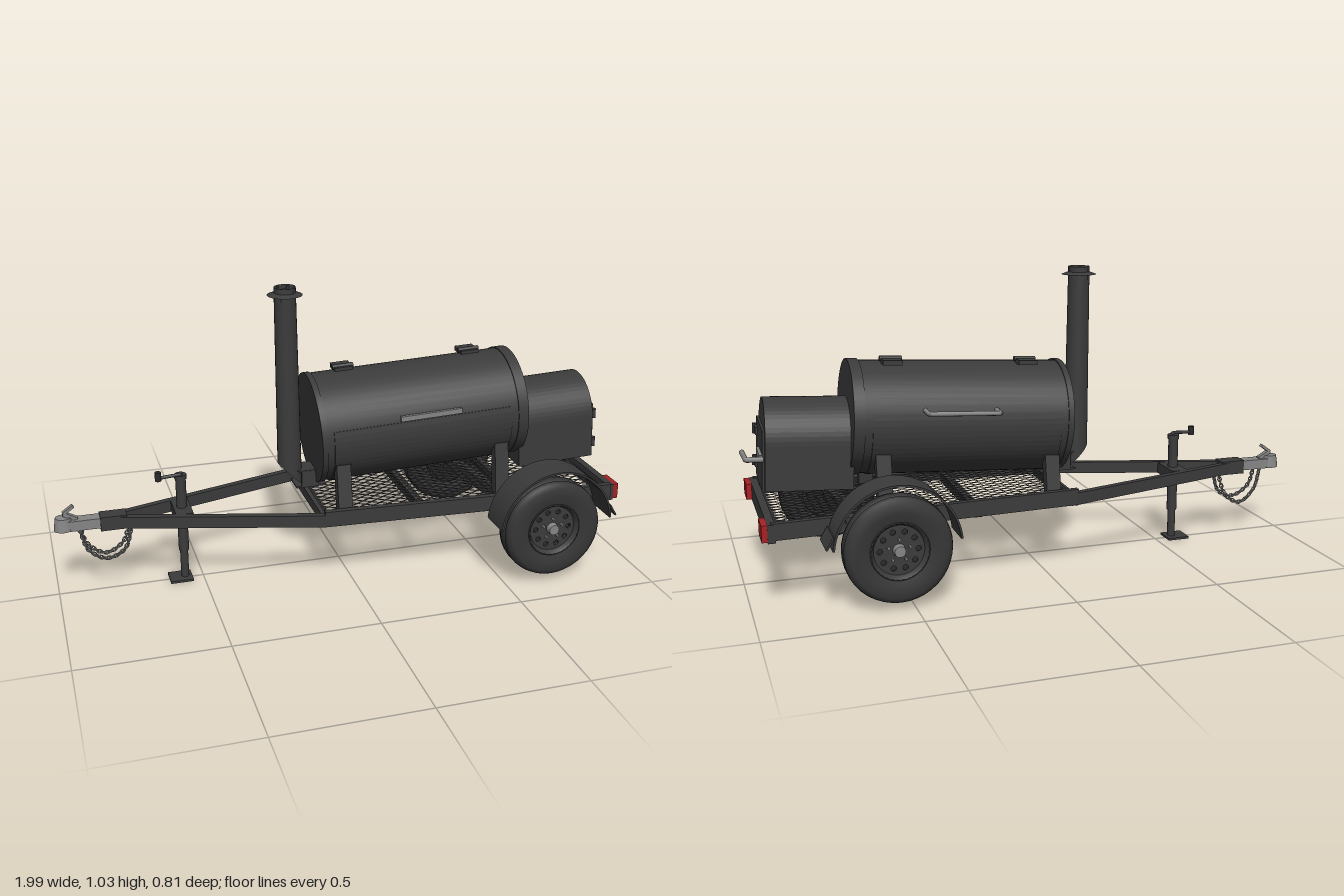
import * as THREE from 'three';

const mat = (name, hex) => {
  const m = new THREE.MeshStandardMaterial({ color: hex, side: THREE.DoubleSide });
  m.name = name;
  return m;
};
const V = (x, y, z) => new THREE.Vector3(x, y, z);

export function createModel() {
  const model = new THREE.Group();
  model.name = 'smokerTrailer';
  const steel = mat('blackSteel', 0x3b3b3b);
  const rubber = mat('rubber', 0x363636);
  const dark = mat('darkSteel', 0x2a2a2a);
  const silver = mat('silver', 0x858585);
  const red = mat('redLens', 0xa82024);

  const add = (parent, name, geo, m, x = 0, y = 0, z = 0) => {
    const mesh = new THREE.Mesh(geo, m);
    mesh.name = name;
    mesh.position.set(x, y, z);
    parent.add(mesh);
    return mesh;
  };
  const box = (parent, name, m, w, h, d, x, y, z) =>
    add(parent, name, new THREE.BoxGeometry(w, h, d), m, x, y, z);
  // square bar between two points
  const beam = (parent, name, m, a, b, w, h) => {
    const mesh = add(parent, name, new THREE.BoxGeometry(w, h, a.distanceTo(b)), m);
    mesh.position.copy(a).lerp(b, 0.5);
    mesh.lookAt(b);
    return mesh;
  };
  // round rod bent through a few points
  const rod = (parent, name, m, pts, r) => {
    const path = new THREE.CurvePath();
    for (let i = 1; i < pts.length; i++) path.add(new THREE.LineCurve3(pts[i - 1], pts[i]));
    return add(parent, name, new THREE.TubeGeometry(path, pts.length * 8, r, 8), m);
  };

  // Frame: side rails, tongue, cross members, bumper
  const frame = new THREE.Group();
  frame.name = 'frame';
  model.add(frame);
  for (const s of [1, -1]) {
    beam(frame, 'sideRail', steel, V(-0.11, 0.262, s * 0.21), V(0.93, 0.265, s * 0.278), 0.022, 0.055);
    beam(frame, 'tongueRail', steel, V(-0.82, 0.253, s * 0.005), V(-0.105, 0.256, s * 0.21), 0.024, 0.042);
  }
  for (const [x, w] of [[-0.1, 0.42], [0.25, 0.46], [0.6, 0.5]])
    box(frame, 'crossMember', steel, 0.025, 0.035, w, x, 0.247, 0);
  box(frame, 'rearBumper', steel, 0.025, 0.06, 0.575, 0.93, 0.26, -0.003);
  for (const s of [1, -1]) box(frame, 'tailLight', red, 0.022, 0.055, 0.085, 0.95, 0.262, s * 0.243 - 0.003);

  // Expanded metal floor: flat sheet with staggered diamond holes
  const half = (x) => 0.205 + (x + 0.11) * 0.066;
  const sheet = new THREE.Shape([[-0.1, -half(-0.1)], [0.925, -half(0.925)], [0.925, half(0.925)], [-0.1, half(-0.1)]]
    .map(([x, y]) => new THREE.Vector2(x, y)));
  const px = 0.052, pz = 0.03, hx = 0.019, hz = 0.0105;
  for (let i = 0; i < 39; i++) {
    const x = -0.075 + i * px / 2;
    if (x + hx > 0.92) break;
    for (let j = -10; j <= 10; j++) {
      const z = (j + (i % 2) / 2) * pz;
      if (Math.abs(z) + hz > half(x - hx) - 0.004) continue;
      sheet.holes.push(new THREE.Path([[x - hx, z], [x, z + hz], [x + hx, z], [x, z - hz]]
        .map(([a, b]) => new THREE.Vector2(a, b))));
    }
  }
  add(frame, 'meshFloor', new THREE.ShapeGeometry(sheet).rotateX(-Math.PI / 2), dark, 0, 0.268, 0);

  // Axle and wheels; the axle sits askew under the frame
  beam(frame, 'axle', steel, V(0.55, 0.185, -0.32), V(0.66, 0.197, 0.32), 0.04, 0.045);
  const tireProfile = [[0.092, -0.04], [0.125, -0.048], [0.155, -0.047], [0.17, -0.038], [0.175, -0.022],
    [0.169, -0.02], [0.169, -0.015], [0.176, -0.013], [0.176, 0.013], [0.169, 0.015], [0.169, 0.02],
    [0.175, 0.022], [0.17, 0.038], [0.155, 0.047], [0.125, 0.048], [0.092, 0.04]]
    .map(([r, y]) => new THREE.Vector2(r, y));
  const disc = new THREE.Shape().absarc(0, 0, 0.082, 0, Math.PI * 2);
  for (let i = 0; i < 10; i++) {
    const a = i * Math.PI / 5;
    disc.holes.push(new THREE.Path().absarc(Math.cos(a) * 0.062, Math.sin(a) * 0.062, 0.009, 0, Math.PI * 2));
  }
  for (const [x, y, s] of [[0.66, 0.2, 1], [0.55, 0.197, -1]]) {
    const wheel = new THREE.Group();
    wheel.name = s > 0 ? 'frontSideWheel' : 'backSideWheel';
    wheel.position.set(x, y, s * 0.353);
    if (s < 0) wheel.rotation.y = Math.PI;
    model.add(wheel);
    add(wheel, 'tire', new THREE.LatheGeometry(tireProfile, 40).rotateX(Math.PI / 2), rubber);
    const rim = [[0.08, -0.04], [0.096, -0.042], [0.096, 0.042], [0.09, 0.044], [0.082, 0.025]]
      .map(([r, h]) => new THREE.Vector2(r, h));
    add(wheel, 'rimRing', new THREE.LatheGeometry(rim, 32).rotateX(Math.PI / 2), steel);
    add(wheel, 'rimDisc', new THREE.ExtrudeGeometry(disc, { depth: 0.008, bevelEnabled: false, curveSegments: 16 }),
      steel, 0, 0, 0.018);
    add(wheel, 'rimBack', new THREE.CylinderGeometry(0.085, 0.085, 0.01, 24).rotateX(Math.PI / 2), dark, 0, 0, -0.015);
    add(wheel, 'hubCap', new THREE.CylinderGeometry(0.018, 0.022, 0.025, 16).rotateX(Math.PI / 2), silver, 0, 0, 0.033);
    for (let i = 0; i < 5; i++) {
      const a = i * Math.PI * 0.4 + 0.3;
      add(wheel, 'lugNut', new THREE.CylinderGeometry(0.005, 0.005, 0.01, 6).rotateX(Math.PI / 2), silver,
        Math.cos(a) * 0.036, Math.sin(a) * 0.036, 0.03);
    }
    // Fender: bent band with a short lip, tied to the frame
    const arch = new THREE.Shape().absarc(0, 0, 0.214, 0.1, Math.PI - 0.1).absarc(0, 0, 0.207, Math.PI - 0.1, 0.1, true);
    const fender = add(model, 'fender', new THREE.ExtrudeGeometry(arch,
      { depth: 0.122, bevelEnabled: false, curveSegments: 24 }), steel, x + 0.005, y + 0.004, s * 0.345 - 0.061);
    fender.scale.x = 0.97;
    beam(model, 'fenderFlare', steel, V(x + 0.206, y + 0.07, s * 0.345), V(x + 0.23, y + 0.03, s * 0.345), 0.118, 0.006);
    box(model, 'fenderBracket', steel, 0.3, 0.02, 0.04, x, y + 0.085, s * 0.275);
  }

  // Cooking barrel: local x runs along its axis, slightly tilted
  const cooker = new THREE.Group();
  cooker.name = 'cooker';
  cooker.position.set(0.27, 0.531, -0.006);
  cooker.rotation.set(0, -0.024, 0.052);
  model.add(cooker);
  const tube = (name, r, x0, x1, m = steel) =>
    add(cooker, name, new THREE.CylinderGeometry(r, r, x1 - x0, 48).rotateZ(Math.PI / 2), m, (x0 + x1) / 2, 0, 0);
  tube('barrel', 0.19, -0.37, 0.37);
  tube('endBand', 0.194, -0.372, -0.352);
  tube('endBand', 0.194, 0.335, 0.372);
  for (const s of [1, -1]) {
    const pts = [];
    for (let i = 0; i <= 16; i++) {
      const a = 0.2 + i * 0.1;
      pts.push(new THREE.Vector2(Math.cos(a) * 0.194, Math.sin(a) * 0.194 * s));
    }
    for (let i = 16; i >= 0; i--) {
      const a = 0.2 + i * 0.1;
      pts.push(new THREE.Vector2(Math.cos(a) * 0.189, Math.sin(a) * 0.189 * s));
    }
    // shape x becomes up, shape y becomes z, depth runs along the barrel
    const lid = new THREE.ExtrudeGeometry(new THREE.Shape(pts), { depth: 0.64, bevelEnabled: false });
    lid.rotateY(Math.PI / 2).rotateX(Math.PI / 2);
    add(cooker, 'lid', lid.rotateX(-0), steel, -0.33, 0, 0).rotation.x = Math.PI;
  }
  for (const x of [-0.235, 0.23]) {
    box(cooker, 'hingePlate', steel, 0.065, 0.016, 0.07, x, 0.193, -0.04);
    add(cooker, 'hingePin', new THREE.CylinderGeometry(0.009, 0.009, 0.075, 10).rotateZ(Math.PI / 2), steel, x, 0.2, -0.025);
  }
  box(cooker, 'lidBar', silver, 0.22, 0.018, 0.012, 0.015, 0.058, 0.19);
  rod(cooker, 'lidHandle', silver, [V(-0.1, 0.055, -0.18), V(-0.1, 0.055, -0.238), V(0.14, 0.055, -0.238),
    V(0.14, 0.055, -0.18)], 0.008);

  // Firebox with arched roof, and its door
  const arch = (w, bottom, spring) => {
    const s = new THREE.Shape();
    s.moveTo(-w, bottom).lineTo(w, bottom).lineTo(w, spring).absarc(0, spring, w, 0, Math.PI);
    return s.lineTo(-w, bottom);
  };
  add(cooker, 'firebox', new THREE.ExtrudeGeometry(arch(0.135, -0.215, -0.067),
    { depth: 0.285, bevelEnabled: false, curveSegments: 14 }).rotateY(Math.PI / 2), steel, 0.36, 0, 0);
  box(cooker, 'fireboxDoor', steel, 0.01, 0.2, 0.24, 0.648, -0.12, 0.0);
  for (const y of [-0.06, -0.17]) {
    box(cooker, 'doorHinge', steel, 0.012, 0.025, 0.06, 0.655, y, 0.09);
    add(cooker, 'doorHingePin', new THREE.CylinderGeometry(0.008, 0.008, 0.035, 8), steel, 0.66, y, 0.112);
  }
  rod(cooker, 'doorLatch', silver, [V(0.65, -0.11, -0.125), V(0.705, -0.11, -0.125), V(0.71, -0.11, -0.02)], 0.009);
  box(cooker, 'latchPlate', silver, 0.012, 0.02, 0.12, 0.657, -0.108, -0.06);

  // Saddle legs
  for (const [x, top] of [[-0.03, 0.43], [0.55, 0.46]])
    for (const s of [1, -1])
      beam(model, 'barrelLeg', steel, V(x, 0.26, s * 0.18), V(x, top, s * 0.15), 0.05, 0.035);

  // Chimney with slanted foot, duct plates and rain cap
  const pipe = new THREE.CylinderGeometry(0.037, 0.042, 0.67, 24, 1, true);
  const p = pipe.attributes.position;
  for (let i = 0; i < p.count; i++)
    if (p.getY(i) < 0) p.setY(i, -0.335 - p.getX(i) * 1.0);
  add(model, 'chimney', pipe, steel, -0.182, 0.675 + 0.015, 0).rotation.z = 0.012;
  for (const [y, x] of [[0.37, -0.12], [0.312, -0.11]]) box(model, 'ductPlate', steel, 0.11, 0.006, 0.08, x, y, 0);
  for (const s of [1, -1]) box(model, 'ductSide', steel, 0.06, 0.055, 0.005, -0.115, 0.341, s * 0.038);
  for (let i = 0; i < 6; i++) {
    const a = i * Math.PI / 3;
    box(model, 'capPost', steel, 0.008, 0.04, 0.008, -0.186 + Math.cos(a) * 0.033, 1.0, Math.sin(a) * 0.033);
  }
  add(model, 'chimneyCap', new THREE.ConeGeometry(0.06, 0.023, 24), steel, -0.186, 1.009, 0);

  // Coupler
  box(model, 'couplerChannel', steel, 0.09, 0.05, 0.055, -0.8, 0.255, 0);
  box(model, 'couplerBody', silver, 0.13, 0.036, 0.045, -0.885, 0.258, 0);
  add(model, 'couplerSocket', new THREE.CylinderGeometry(0.024, 0.03, 0.045, 16), silver, -0.966, 0.264, 0).scale.x = 1.12;
  beam(model, 'couplerLatch', silver, V(-0.92, 0.275, 0), V(-0.965, 0.3, 0), 0.018, 0.014);
  beam(model, 'couplerLever', silver, V(-0.965, 0.3, 0), V(-0.93, 0.325, 0), 0.018, 0.01);

  // Safety chains: alternating links on hanging curves
  for (const s of [1, -1]) {
    const curve = new THREE.CatmullRomCurve3([V(-0.915, 0.24, s * 0.02), V(-0.89, 0.165, s * 0.025),
      V(-0.83, 0.125 + s * 0.004, s * 0.03), V(-0.77, 0.155, s * 0.028), V(-0.74, 0.24, s * 0.022)]);
    for (let i = 0; i <= 24; i++) {
      const link = add(model, 'chainLink', new THREE.TorusGeometry(0.0065, 0.0024, 5, 8).scale(1.5, 1, 1)
        .rotateX((i % 2) * Math.PI / 2).rotateY(Math.PI / 2), silver);
      const at = curve.getPointAt(i / 24);
      link.position.copy(at);
      link.lookAt(at.clone().add(curve.getTangentAt(i / 24)));
    }
  }

  // Tongue jack
  const post = (name, r, y0, y1) =>
    add(model, name, new THREE.CylinderGeometry(r, r, y1 - y0, 16), steel, -0.564, (y0 + y1) / 2, 0);
  box(model, 'jackFoot', steel, 0.08, 0.008, 0.075, -0.58, 0.004, 0);
  post('jackInnerTube', 0.014, 0.006, 0.12);
  post('jackOuterTube', 0.018, 0.11, 0.385);
  post('jackCap', 0.021, 0.38, 0.396);
  box(model, 'jackMount', steel, 0.06, 0.04, 0.13, -0.564, 0.255, 0);
  rod(model, 'jackCrank', steel, [V(-0.564, 0.39, 0), V(-0.564, 0.4, 0.012), V(-0.64, 0.396, 0.015)], 0.006);
  add(model, 'crankKnob', new THREE.CylinderGeometry(0.011, 0.011, 0.032, 12), dark, -0.642, 0.402, 0.015);

  return model;
}
